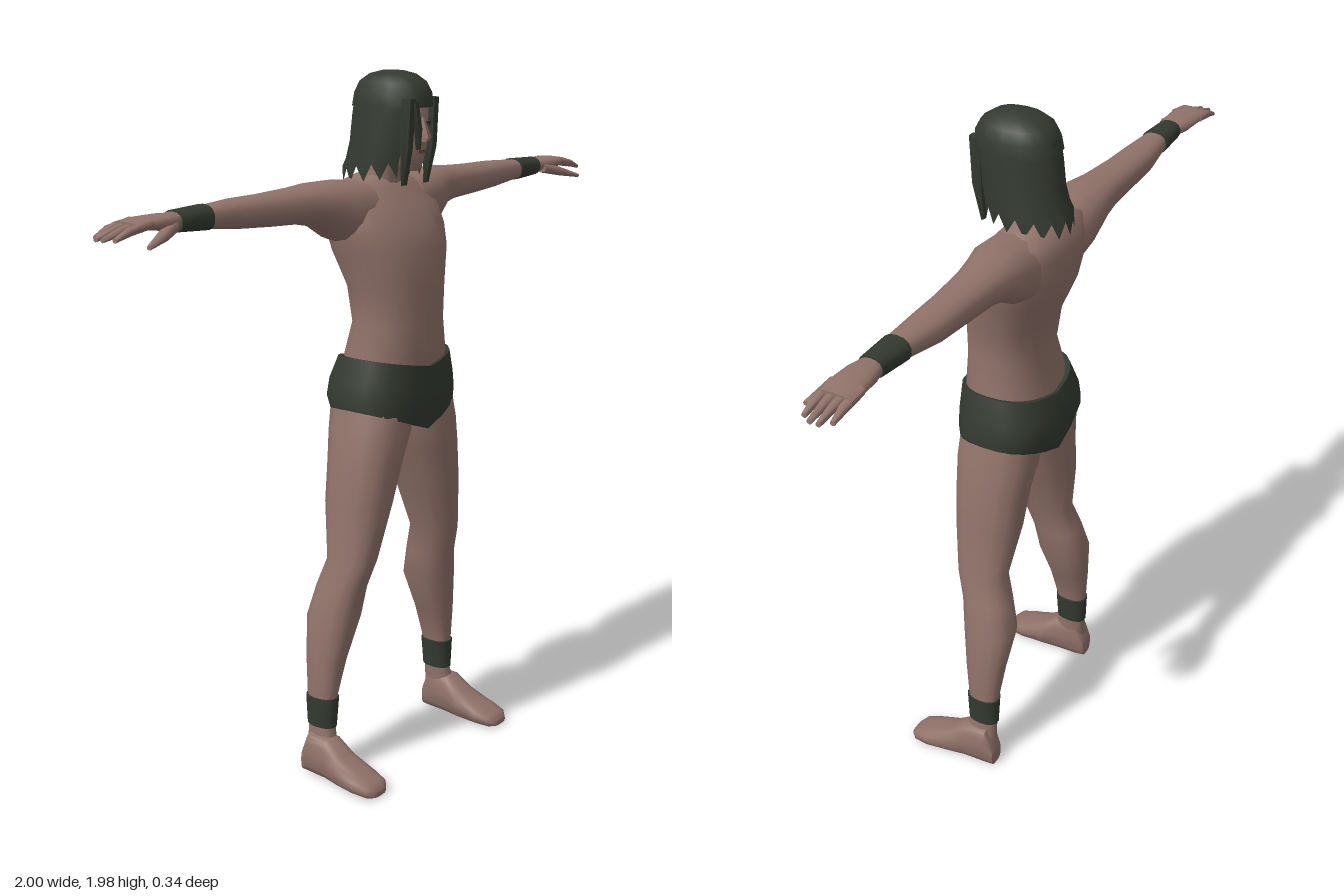
import * as THREE from 'three';
import { toCreasedNormals } from 'three/addons/utils/BufferGeometryUtils.js';

const skin = new THREE.MeshStandardMaterial({ color: 0x91736a });
skin.name = 'skin';
const dark = new THREE.MeshStandardMaterial({ color: 0x343a30, side: THREE.DoubleSide });
dark.name = 'dark cloth and hair';
const lip = new THREE.MeshStandardMaterial({ color: 0x704a44 });
lip.name = 'lips';

// Closed loft along an axis. Section: [t, a0, a1, b0, b1, slope], t ascending.
// Extents are x,z for axis y; y,z for axis x; x,y for axis z. Slope raises y by |x|.
function loft(axis, sections, { n = 16, power = 0.85, mirror = false } = {}) {
  const pos = [], idx = [];
  const sp = (v) => Math.sign(v) * Math.abs(v) ** power;
  const point = (s, ca, cb) => {
    const a = (s[1] + s[2]) / 2 + ((s[2] - s[1]) / 2) * ca;
    const b = (s[3] + s[4]) / 2 + ((s[4] - s[3]) / 2) * cb;
    const p = axis === 'x' ? [s[0], a, b]
      : axis === 'y' ? [a, s[0] + (s[5] || 0) * Math.abs(a), b] : [a, b, s[0]];
    if (mirror) p[0] = -p[0];
    pos.push(...p);
  };
  const flip = (axis === 'y') !== mirror;
  const tri = (a, b, c) => (flip ? idx.push(a, c, b) : idx.push(a, b, c));
  for (const s of sections) {
    for (let i = 0; i < n; i++) {
      const t = (i / n) * Math.PI * 2;
      point(s, sp(Math.cos(t)), sp(Math.sin(t)));
    }
  }
  const last = (sections.length - 1) * n;
  point(sections[0], 0, 0);
  point(sections[sections.length - 1], 0, 0);
  for (let i = 0; i < n; i++) {
    const j = (i + 1) % n;
    for (let r = 0; r < last; r += n) {
      tri(r + i, r + j, r + n + j);
      tri(r + i, r + n + j, r + n + i);
    }
    tri(last + n, j, i);
    tri(last + n + 1, last + i, last + j);
  }
  const g = new THREE.BufferGeometry();
  g.setAttribute('position', new THREE.Float32BufferAttribute(pos, 3));
  g.setIndex(idx);
  return toCreasedNormals(g, 1.0);
}

// Open sheet of hair round the sides and back, with a ragged hem
function hairSheet() {
  const rows = [[1.92, 0.084, -0.125, 0.095], [1.86, 0.09, -0.135, 0.095],
    [1.79, 0.094, -0.142, 0.085], [1.74, 0.099, -0.155, 0.075], [1.69, 0.1, -0.168, 0.07]];
  const cols = 24, pos = [], idx = [];
  rows.forEach(([y, rx, zb, zf], r) => {
    for (let c = 0; c <= cols; c++) {
      const phi = THREE.MathUtils.degToRad(36 + (288 * c) / cols);
      const back = (1 - Math.cos(phi)) / 2;
      const hem = r === rows.length - 1 ? 0.02 - 0.03 * back + (c % 2 ? 0.035 : -0.01) : 0;
      pos.push(rx * Math.sin(phi), y + hem, (zb + zf) / 2 + ((zf - zb) / 2) * Math.cos(phi));
      if (r && c) {
        const d = r * (cols + 1) + c, u = d - cols - 1;
        idx.push(u - 1, d - 1, d, u - 1, d, u);
      }
    }
  });
  const g = new THREE.BufferGeometry();
  g.setAttribute('position', new THREE.Float32BufferAttribute(pos, 3));
  g.setIndex(idx);
  g.computeVertexNormals();
  return g;
}

export function createModel() {
  const model = new THREE.Group();
  model.name = 'figure';
  const add = (name, geometry, material, parent = model) => {
    const m = new THREE.Mesh(geometry, material);
    m.name = name;
    parent.add(m);
    return m;
  };

  // Trunk
  add('torso', loft('y', [
    [1.12, -0.16, 0.16, -0.13, 0.1], [1.2, -0.157, 0.157, -0.128, 0.114],
    [1.3, -0.14, 0.14, -0.102, 0.11], [1.4, -0.15, 0.15, -0.115, 0.11],
    [1.5, -0.18, 0.18, -0.155, 0.105], [1.56, -0.195, 0.195, -0.165, 0.085],
    [1.62, -0.2, 0.2, -0.165, 0.05], [1.67, -0.17, 0.17, -0.155, 0.005],
    [1.7, -0.07, 0.07, -0.12, -0.015]], { n: 24 }), skin);
  add('briefs', loft('y', [
    [1.0, -0.198, 0.198, -0.146, 0.113, 0.36], [1.06, -0.197, 0.197, -0.163, 0.12, 0.2],
    [1.12, -0.185, 0.185, -0.16, 0.122, 0.14], [1.18, -0.163, 0.163, -0.138, 0.12, 0.19],
  ], { n: 24, power: 0.75 }), dark);
  add('neck', loft('y', [[1.62, -0.07, 0.07, -0.13, 0], [1.7, -0.052, 0.052, -0.1, 0],
    [1.78, -0.05, 0.05, -0.09, 0.03]]), skin);

  // Head
  const head = new THREE.Group();
  head.name = 'head';
  model.add(head);
  add('face', loft('y', [
    [1.715, -0.025, 0.025, -0.03, 0.07], [1.735, -0.042, 0.042, -0.07, 0.08],
    [1.78, -0.06, 0.06, -0.1, 0.088], [1.83, -0.07, 0.07, -0.11, 0.088],
    [1.9, -0.072, 0.072, -0.11, 0.092], [1.94, -0.05, 0.05, -0.08, 0.06]]), skin, head);
  add('nose', loft('y', [[1.795, -0.013, 0.013, 0.07, 0.108], [1.808, -0.013, 0.013, 0.07, 0.116],
    [1.86, -0.006, 0.006, 0.07, 0.092]], { n: 6 }), skin, head);
  add('mouth', new THREE.BoxGeometry(0.032, 0.009, 0.008), lip, head).position.set(0, 1.768, 0.084);
  for (const s of [-1, 1]) {
    add('eye', new THREE.BoxGeometry(0.022, 0.009, 0.008), dark, head).position.set(s * 0.027, 1.842, 0.083);
  }

  // Hair
  add('hairCrown', loft('y', [
    [1.885, -0.089, 0.089, -0.132, 0.1], [1.92, -0.086, 0.086, -0.125, 0.1],
    [1.95, -0.072, 0.072, -0.11, 0.085], [1.97, -0.05, 0.05, -0.08, 0.055],
    [1.979, -0.02, 0.02, -0.045, 0.02]]), dark, head);
  add('hairCurtain', hairSheet(), dark, head);
  add('rightFrontLock', loft('y', [[1.68, -0.062, -0.035, 0.058, 0.068],
    [1.78, -0.07, -0.034, 0.06, 0.09], [1.91, -0.07, -0.03, 0.06, 0.098]], { n: 6 }), dark, head);
  add('leftFrontLock', loft('y', [[1.68, 0.035, 0.06, 0.058, 0.068],
    [1.78, 0.036, 0.07, 0.06, 0.09], [1.91, 0.035, 0.07, 0.06, 0.098]], { n: 6 }), dark, head);
  add('fringeLock', loft('y', [[1.775, -0.03, -0.012, 0.084, 0.096],
    [1.83, -0.04, -0.008, 0.084, 0.1], [1.9, -0.05, -0.025, 0.08, 0.1]], { n: 6 }), dark, head);

  // Limbs, mirrored
  for (const [side, mirror] of [['left', false], ['right', true]]) {
    const arm = new THREE.Group(), leg = new THREE.Group();
    arm.name = side + 'Arm';
    leg.name = side + 'Leg';
    model.add(arm, leg);
    const o = { n: 14, mirror }, f = { n: 8, mirror };

    add('armSkin', loft('x', [
      [0.1, 1.5, 1.69, -0.15, 0.03], [0.19, 1.535, 1.7, -0.155, 0.02],
      [0.26, 1.58, 1.698, -0.15, -0.005], [0.33, 1.594, 1.692, -0.142, -0.02],
      [0.45, 1.6, 1.687, -0.136, -0.03], [0.55, 1.607, 1.686, -0.134, -0.035],
      [0.67, 1.622, 1.68, -0.115, -0.042], [0.78, 1.63, 1.676, -0.108, -0.046]], o), skin, arm);
    add('wristband', loft('x', [[0.665, 1.618, 1.684, -0.119, -0.038],
      [0.77, 1.625, 1.68, -0.112, -0.042]], o), dark, arm);
    add('palm', loft('x', [[0.76, 1.632, 1.674, -0.106, -0.048], [0.81, 1.634, 1.676, -0.122, -0.035],
      [0.88, 1.644, 1.674, -0.132, -0.034], [0.92, 1.645, 1.668, -0.132, -0.036]], o), skin, arm);
    for (const [z, tip] of [[-0.12, 0.98], [-0.096, 1.0], [-0.072, 1.0], [-0.047, 0.985]]) {
      add('finger', loft('x', [[0.87, 1.648, 1.672, z - 0.013, z + 0.013],
        [0.94, 1.638, 1.66, z - 0.012, z + 0.012], [tip, 1.628, 1.64, z - 0.007, z + 0.007]], f), skin, arm);
    }
    add('thumb', loft('x', [[0.79, 1.63, 1.66, -0.07, -0.035], [0.85, 1.618, 1.646, -0.045, -0.008],
      [0.92, 1.608, 1.62, -0.01, 0.005]], f), skin, arm);

    add('legSkin', loft('y', [
      [0.08, 0.25, 0.31, -0.1, 0], [0.15, 0.247, 0.298, -0.1, -0.014],
      [0.24, 0.238, 0.302, -0.103, -0.01], [0.35, 0.205, 0.3, -0.115, 0.005],
      [0.47, 0.155, 0.288, -0.13, 0.025], [0.56, 0.148, 0.265, -0.11, 0.04],
      [0.64, 0.135, 0.245, -0.085, 0.066], [0.8, 0.075, 0.235, -0.11, 0.085],
      [0.92, 0.035, 0.22, -0.118, 0.095], [1.0, 0.003, 0.205, -0.13, 0.103],
      [1.08, 0.0, 0.185, -0.135, 0.1]], o), skin, leg);
    add('ankleBand', loft('y', [[0.15, 0.243, 0.302, -0.104, -0.01],
      [0.24, 0.233, 0.307, -0.107, -0.006]], o), dark, leg);
    add('foot', loft('z', [
      [-0.106, 0.26, 0.312, 0, 0.07], [-0.08, 0.247, 0.322, 0, 0.13],
      [-0.01, 0.242, 0.328, 0, 0.125], [0.04, 0.237, 0.338, 0, 0.085],
      [0.11, 0.236, 0.345, 0, 0.054], [0.155, 0.245, 0.338, 0, 0.038],
      [0.172, 0.265, 0.32, 0.003, 0.022]], { n: 14, power: 0.65, mirror }), skin, leg);
  }
  return model;
}
